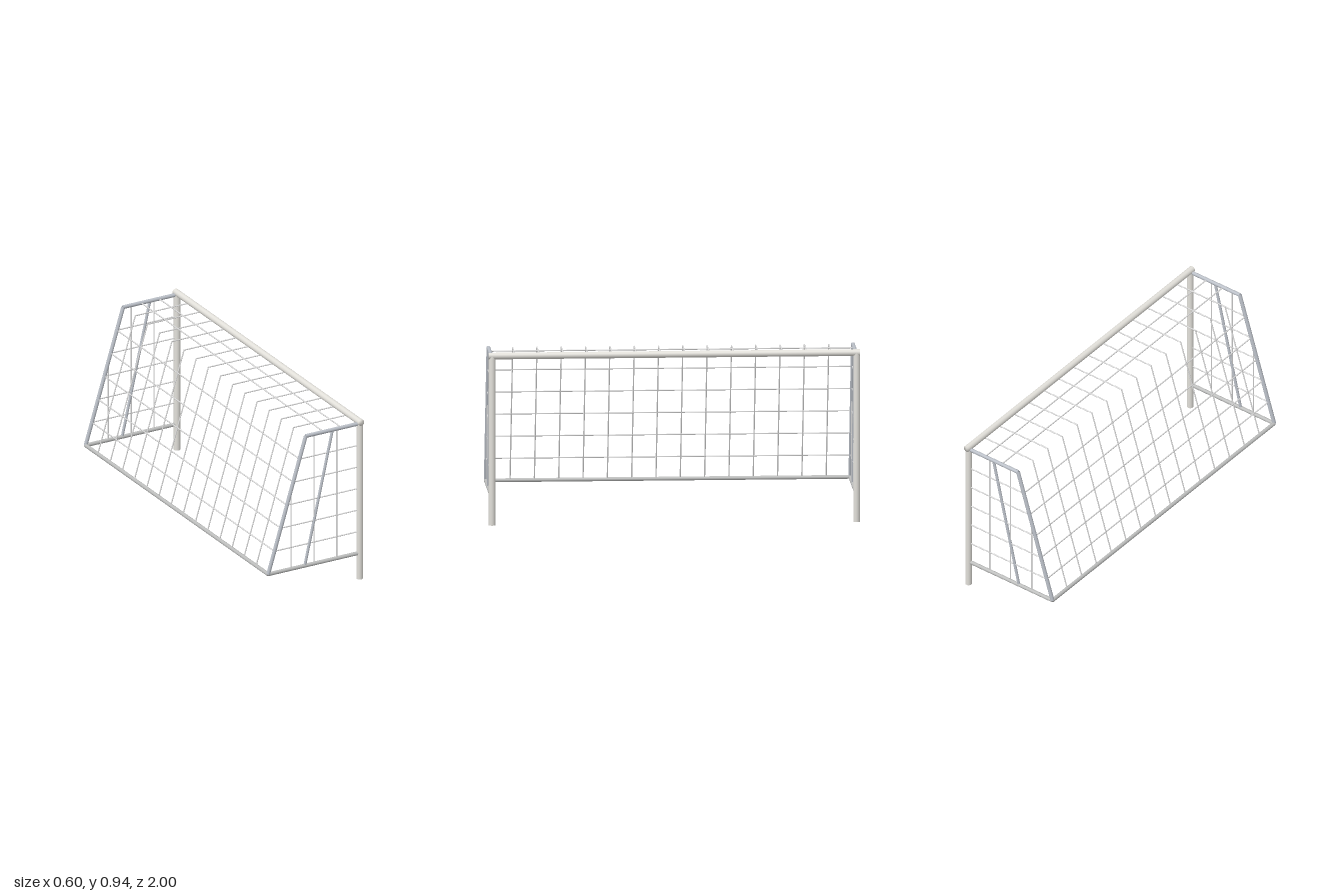
import * as THREE from 'three';
import { mergeVertices } from 'three/addons/utils/BufferGeometryUtils.js';

const material = (name, color) => Object.assign(new THREE.MeshStandardMaterial({ color }), { name });

// Capped tube with normals averaged over the rims, for soft rounded ends
function softTube(radius, length, sides) {
  const tube = new THREE.CylinderGeometry(radius, radius, length, sides);
  tube.deleteAttribute('normal');
  tube.deleteAttribute('uv');
  const soft = mergeVertices(tube);
  soft.computeVertexNormals();
  return soft;
}

export function createModel() {
  const goal = new THREE.Group();
  goal.name = 'footballGoal';
  const postPaint = material('postPaint', 0xe2e0da);
  const frameSteel = material('frameSteel', 0xb9bec6);
  const groundSteel = material('groundSteel', 0xbcbdbc);
  const netCord = material('netCord', 0xd9d9d9);

  // Straight round bar between two points
  function bar(name, from, to, radius, mat, sides = 16) {
    const a = new THREE.Vector3(...from), b = new THREE.Vector3(...to);
    const dir = b.clone().sub(a);
    const mesh = new THREE.Mesh(softTube(radius, dir.length(), sides), mat);
    mesh.position.copy(a).add(b).multiplyScalar(0.5);
    mesh.quaternion.setFromUnitVectors(new THREE.Vector3(0, 1, 0), dir.normalize());
    mesh.name = name;
    goal.add(mesh);
  }

  const POST_X = 0.28, POST_R = 0.018, SIDE_Z = 0.982;
  const TOP_X = -0.055, TOP_Y = 0.912, BACK_X = -0.288, BASE_Y = 0.15;
  const FRAME_R = 0.0105, CORD_R = 0.0035;
  const slope = (TOP_Y - BASE_Y) / (TOP_X - BACK_X);
  const backX = y => BACK_X + (y - BASE_Y) / slope;
  const backY = x => Math.min(TOP_Y, BASE_Y + (x - BACK_X) * slope);
  const cordHeights = [1, 2, 3, 4, 5].map(i => BASE_Y + i * (TOP_Y - BASE_Y) / 6);

  // Main mouth frame
  bar('crossbar', [POST_X, 0.922, -1], [POST_X, 0.922, 1], POST_R, postPaint, 24);
  bar('rearGroundBar', [BACK_X, BASE_Y, -SIDE_Z], [BACK_X, BASE_Y, SIDE_Z], FRAME_R, groundSteel);

  for (const z of [-SIDE_Z, SIDE_Z]) {
    // Post and side frame
    bar('post', [POST_X, 0, z], [POST_X, 0.922, z], POST_R, postPaint, 24);
    bar('topSideBar', [TOP_X, TOP_Y, z], [POST_X, TOP_Y, z], FRAME_R, frameSteel);
    bar('slantedBackBar', [BACK_X, BASE_Y, z], [TOP_X, TOP_Y, z], FRAME_R, frameSteel);
    bar('bottomSideBar', [BACK_X, BASE_Y, z], [POST_X, BASE_Y, z], FRAME_R, groundSteel);
    bar('sideBrace', [-0.06, 0.155, z], [0.11, 0.907, z], 0.0078, frameSteel);

    // Side net
    for (const x of [-0.147, -0.004, 0.137])
      bar('sideNetVertical', [x, BASE_Y, z], [x, backY(x), z], CORD_R, netCord, 8);
    for (const y of cordHeights)
      bar('sideNetHorizontal', [backX(y), y, z], [POST_X, y, z], CORD_R, netCord, 8);
  }

  // Roof and back net: cords along the goal
  for (const y of cordHeights)
    bar('backNetHorizontal', [backX(y), y, -SIDE_Z], [backX(y), y, SIDE_Z], CORD_R, netCord, 8);
  for (const x of [0.057, 0.168])
    bar('roofNetLong', [x, TOP_Y, -SIDE_Z], [x, TOP_Y, SIDE_Z], CORD_R, netCord, 8);

  // Roof and back net: bent cords from crossbar to ground bar
  for (let i = 0; i < 14; i++) {
    const z = (i - 6.5) * 0.131;
    bar('roofNetCross', [POST_X, TOP_Y, z], [TOP_X, TOP_Y, z], CORD_R, netCord, 8);
    bar('backNetCross', [TOP_X, TOP_Y, z], [BACK_X, BASE_Y, z], CORD_R, netCord, 8);
  }
  return goal;
}
